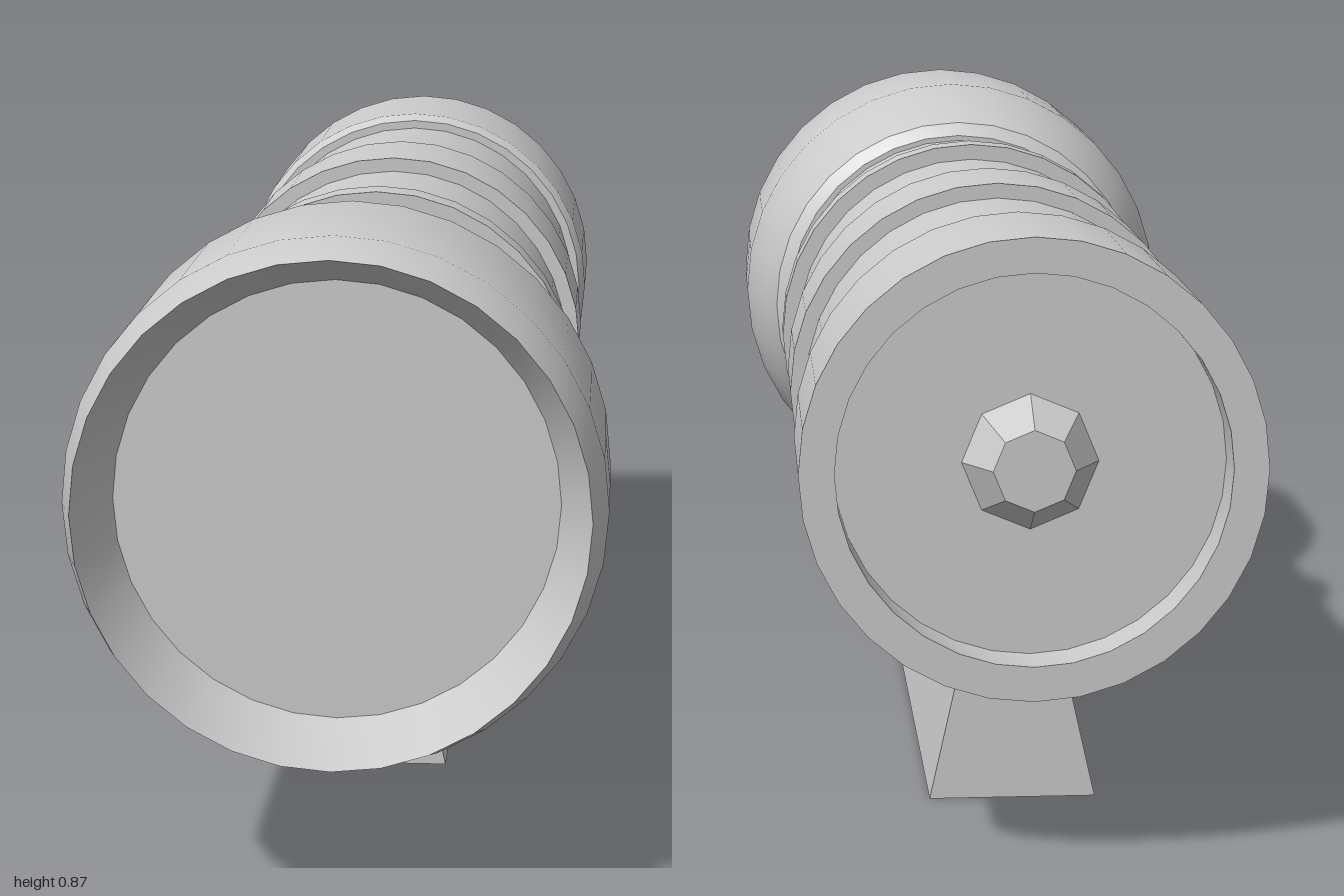
import * as THREE from 'three';
import { toCreasedNormals } from 'three/addons/utils/BufferGeometryUtils.js';

const AXIS_Y = 0.52;
const TUBE_R = 0.272;
const SIDES = 32;

export function createModel() {
  const model = new THREE.Group();
  const grey = new THREE.MeshStandardMaterial({ color: 0xcccccc });
  const faceted = new THREE.MeshStandardMaterial({ color: 0xcccccc, flatShading: true });

  const add = (name, geometry, material = grey) => {
    const mesh = new THREE.Mesh(geometry, material);
    mesh.name = name;
    model.add(mesh);
    return mesh;
  };

  // Turned part around the sight axis; profile is [radius, z] from back to front
  const turned = (name, profile) => {
    const points = profile.map(([r, z]) => new THREE.Vector2(r, z));
    const geometry = new THREE.LatheGeometry(points, SIDES).rotateX(Math.PI / 2);
    add(name, toCreasedNormals(geometry, 0.5)).position.y = AXIS_Y;
  };

  // Main tube
  turned('tube', [[TUBE_R, -0.76], [TUBE_R, 0.46]]);

  // Raised bands
  const band = (name, r, z0, z1) =>
    turned(name, [[TUBE_R - 0.01, z0], [r, z0], [r, z1], [TUBE_R - 0.01, z1]]);
  band('wideBand', 0.293, -0.39, -0.19);
  band('narrowBand', 0.295, 0.13, 0.19);

  // Eyepiece with recessed rear face
  turned('eyepiece', [
    [0, -0.93], [0.25, -0.93], [0.25, -1], [0.295, -1],
    [0.295, -0.74], [0.285, -0.725], [TUBE_R - 0.01, -0.725],
  ]);

  // Flared front bell with recessed lens
  turned('bell', [
    [TUBE_R - 0.01, 0.425], [0.28, 0.425], [0.3, 0.44],
    [0.318, 0.5], [0.334, 0.56], [0.347, 0.63], [0.348, 0.78], [0.348, 0.93],
    [0.328, 1], [0.287, 0.9], [0, 0.9],
  ]);

  // Eight-sided tapered knob on the rear face
  const knob = new THREE.CylinderGeometry(0.09, 0.052, 0.07, 8).rotateX(Math.PI / 2);
  add('rearKnob', knob, faceted).position.set(0, AXIS_Y, -0.96);

  // Tapered mounting foot
  const section = new THREE.Shape([
    new THREE.Vector2(-0.113, 0), new THREE.Vector2(0.113, 0),
    new THREE.Vector2(0.046, 0.3), new THREE.Vector2(-0.046, 0.3),
  ]);
  const foot = new THREE.ExtrudeGeometry(section, { depth: 1.02, bevelEnabled: false });
  add('mountFoot', foot, faceted).position.z = -0.66;

  return model;
}
